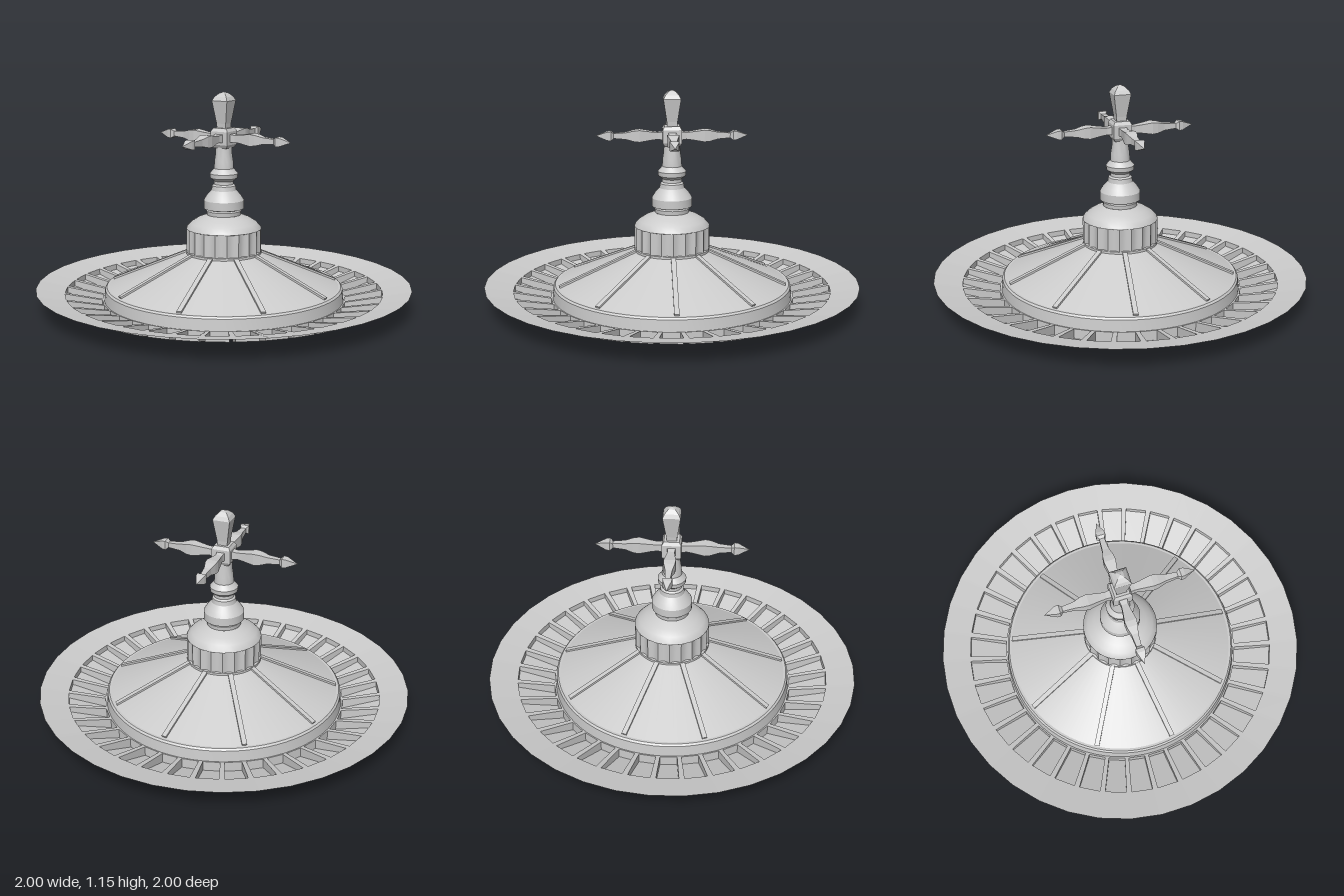
import * as THREE from 'three';
import { toCreasedNormals } from 'three/addons/utils/BufferGeometryUtils.js';

const smooth = new THREE.MeshStandardMaterial({ color: 0xcccccc, side: THREE.DoubleSide });
const faceted = new THREE.MeshStandardMaterial({ color: 0xcccccc, flatShading: true });

function add(parent, name, geometry, material = smooth) {
  const mesh = new THREE.Mesh(geometry, material);
  mesh.name = name;
  parent.add(mesh);
  return mesh;
}

const points = (profile) => profile.map(([r, y]) => new THREE.Vector2(r, y));

// Round turned part with crisp edges
const turned = (profile, segments = 36) =>
  toCreasedNormals(new THREE.LatheGeometry(points(profile), segments), 0.5);

// Square-section part from a half-width profile
const square = (profile) =>
  new THREE.LatheGeometry(points(profile.map(([w, y]) => [w * Math.SQRT2, y])), 4, Math.PI / 4);

function quadGeometry(quads) {
  const pos = [];
  for (const [a, b, c, d] of quads) for (const p of [a, b, c, a, c, d]) pos.push(...p);
  const g = new THREE.BufferGeometry();
  g.setAttribute('position', new THREE.Float32BufferAttribute(pos, 3));
  return toCreasedNormals(g, 0.4);
}

// Sloping brim with a ring of openings, each holding a sunken tray
function addBrim(parent) {
  const count = 37, rIn = 0.65, rOut = 0.848, t0 = 0.1, t1 = 0.9;
  const brimY = (r) => 0.12 - (1 - r) * 0.194;
  const brim = [], trays = [];
  for (let i = 0; i < count; i++) {
    const a = (i / count) * Math.PI * 2, b = ((i + 1) / count) * Math.PI * 2;
    // point at radius r, fraction t along the sector's straight chord
    const P = (r, t, y = brimY(r)) => [
      r * (Math.sin(a) * (1 - t) + Math.sin(b) * t), y,
      -r * (Math.cos(a) * (1 - t) + Math.cos(b) * t)];
    const patch = (r0, r1, u, v) => brim.push([P(r0, u), P(r0, v), P(r1, v), P(r1, u)].reverse());
    for (const [u, v] of [[0, t0], [t0, t1], [t1, 1]]) {
      patch(0.638, rIn, u, v);
      patch(rOut, 1, u, v);
      if (u !== t0) patch(rIn, rOut, u, v);
    }
    const top = [P(rIn, t0), P(rIn, t1), P(rOut, t1), P(rOut, t0)];
    const low = [P(rIn, t0, 0), P(rIn, t1, 0), P(rOut, t1, 0.06), P(rOut, t0, 0.06)];
    trays.push([...low].reverse());
    for (let k = 0; k < 4; k++) {
      const n = (k + 1) % 4;
      trays.push([top[k], top[n], low[n], low[k]]);
    }
  }
  add(parent, 'brim', quadGeometry(brim));
  add(parent, 'brimTrays', quadGeometry(trays));
}

// Conical roof with its rim and radial ribs
function addRoof(parent) {
  add(parent, 'roofRim', turned([[0.64, 0.05], [0.634, 0.11], [0.625, 0.12], [0.612, 0.12]], 72));
  add(parent, 'roofCone', turned([[0.612, 0.12], [0.185, 0.3]], 72));
  const ribs = new THREE.Group();
  ribs.name = 'roofRibs';
  for (let k = 0; k < 9; k++) {
    const arm = new THREE.Group();
    arm.rotation.y = (k * Math.PI * 2) / 9;
    const rib = add(arm, 'roofRib', new THREE.BoxGeometry(0.455, 0.018, 0.026), faceted);
    rib.position.set(0.398, 0.211, 0);
    rib.rotation.z = -Math.atan2(0.18, 0.427);
    ribs.add(arm);
  }
  parent.add(ribs);
}

// Fluted drum, open below
function addDrum(parent) {
  const flutes = 20;
  const g = new THREE.CylinderGeometry(0.2, 0.2, 0.125, flutes * 6, 1, true);
  const p = g.attributes.position;
  for (let i = 0; i < p.count; i++) {
    const a = Math.atan2(p.getX(i), p.getZ(i));
    const s = 1 - 0.06 * Math.abs(Math.sin((a * flutes) / 2));
    p.setX(i, p.getX(i) * s);
    p.setZ(i, p.getZ(i) * s);
  }
  add(parent, 'flutedDrum', toCreasedNormals(g, 0.4)).position.y = 0.3675;
  add(parent, 'drumFoot', turned([[0.185, 0.295], [0.2, 0.295], [0.2, 0.307], [0.188, 0.31]]));
}

export function createModel() {
  const model = new THREE.Group();
  model.name = 'finialRoof';
  addBrim(model);
  addRoof(model);
  addDrum(model);

  // Domed cap and turned post
  add(model, 'domeCap', turned([[0.186, 0.425], [0.2, 0.43], [0.196, 0.44], [0.175, 0.462],
    [0.14, 0.484], [0.09, 0.504]]));
  add(model, 'turnedPost', turned([[0.09, 0.504], [0.092, 0.525], [0.085, 0.532], [0.107, 0.538],
    [0.107, 0.583], [0.09, 0.61], [0.066, 0.636], [0.062, 0.66], [0.052, 0.668], [0.052, 0.685],
    [0.073, 0.702], [0.075, 0.725], [0.052, 0.752], [0.05, 0.79], [0.044, 0.83], [0.042, 0.88]], 28));

  // Hub, top spike and four pointed arms
  add(model, 'hub', square([[0, 0.862], [0.04, 0.862], [0.05, 0.88], [0.05, 0.95],
    [0.04, 0.967], [0, 0.967]]), faceted);
  add(model, 'topSpike', square([[0.026, 0.96], [0.028, 0.99], [0.046, 1.11], [0.036, 1.13],
    [0.018, 1.148], [0, 1.155]]), faceted);
  const armGeometry = square([[0.022, 0.045], [0.018, 0.075], [0.022, 0.11], [0.031, 0.17],
    [0.028, 0.2], [0.018, 0.24], [0.013, 0.305], [0.024, 0.32], [0.022, 0.34], [0, 0.4]]);
  for (let k = 0; k < 4; k++) {
    const pivot = new THREE.Group();
    pivot.position.y = 0.915;
    pivot.rotation.y = (k * Math.PI) / 2;
    add(pivot, 'pointedArm', armGeometry, faceted).rotation.z = -Math.PI / 2;
    model.add(pivot);
  }
  return model;
}
